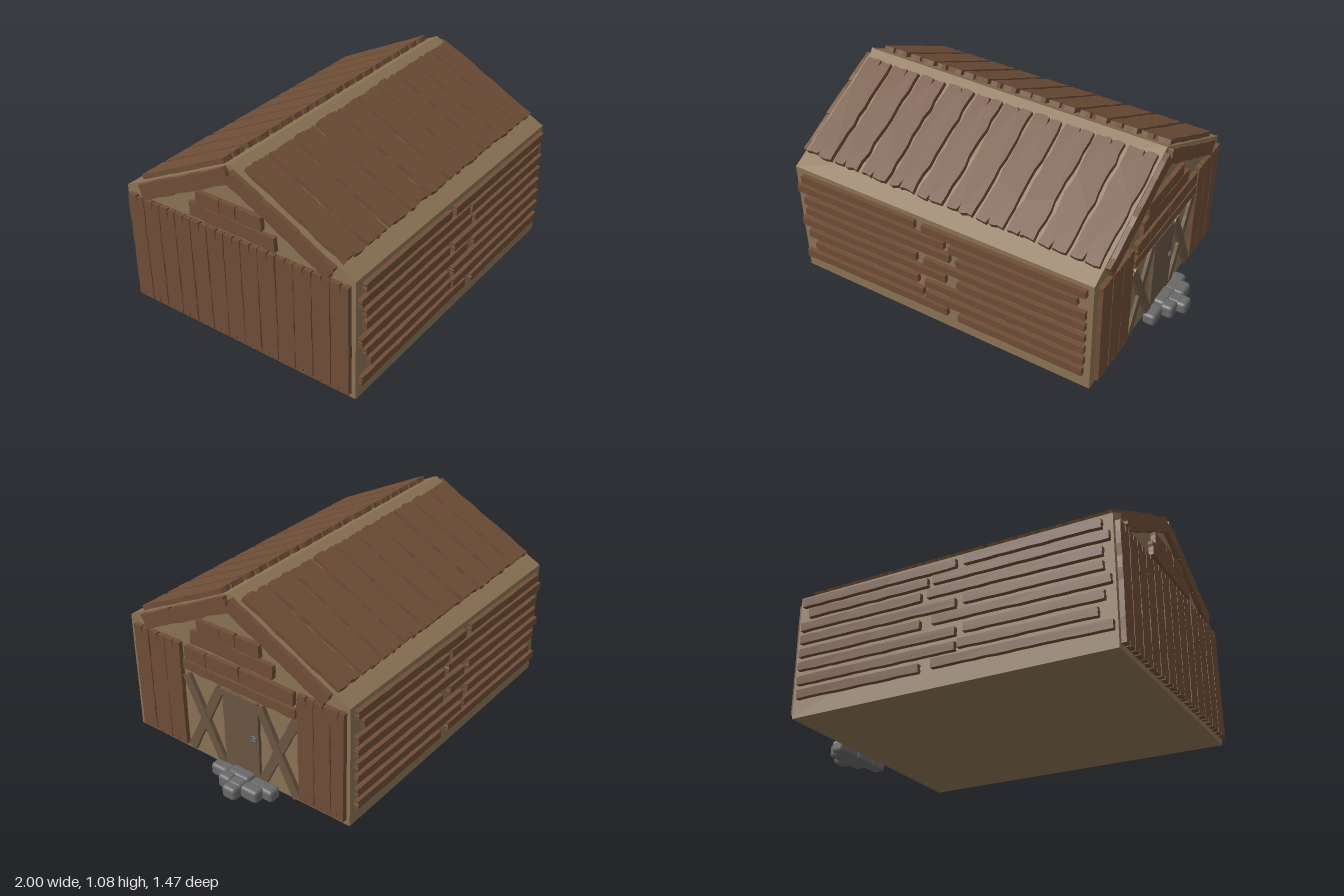
import * as THREE from 'three';
import { RoundedBoxGeometry } from 'three/addons/geometries/RoundedBoxGeometry.js';

const BASE = 0.035, EAVE = 0.72, RIDGE = 1.08, HALF = 0.71, X0 = -0.97, X1 = 0.82;
const SLOPE = Math.atan2(RIDGE - EAVE, HALF);

const mat = (color) => new THREE.MeshStandardMaterial({ color, flatShading: true });

export function createModel() {
  const barn = new THREE.Group();
  barn.name = 'barn';
  const wallMat = mat(0x8b7355), plankMat = mat(0x6f4e37), doorMat = mat(0x6a5643), stoneMat = mat(0x696969);

  let seed = 7;
  const rand = () => (seed = (seed * 16807) % 2147483647) / 2147483647;
  const jitter = (a) => (rand() * 2 - 1) * a;

  // Rough-sawn board: wavy long edges, splintered ends, optional cracks in the ends
  function boardGeometry(len, wid, depth, wave, crack) {
    const pts = [], n = Math.max(4, Math.round(len / 0.06)), L = len / 2, W = wid / 2;
    const side = (s) => {
      for (let i = 0; i <= n; i++) pts.push([s * (-L + (len * i) / n), s * -W + jitter(wave)]);
    };
    const end = (s) => {
      for (let i = 1; i < 5; i++) {
        const y = s * (-W + (wid * i) / 5);
        pts.push([s * L + jitter(wave * 1.3), y]);
        if (crack && i === 2) {
          pts.push([s * (L - crack * (0.4 + rand() * 0.6)), y + s * wid * 0.05]);
          pts.push([s * L, y + s * wid * 0.09]);
        }
      }
    };
    side(1); end(1); side(-1); end(-1);
    const shape = new THREE.Shape(pts.map((p) => new THREE.Vector2(...p)));
    return new THREE.ExtrudeGeometry(shape, { depth, bevelEnabled: false });
  }

  // Places a board on a face whose local z points outwards
  function board(face, name, u, v, len, wid, angle = 0, o = {}) {
    const { depth = 0.03, wave = 0.003, crack = 0, lift = -0.004, material = plankMat } = o;
    const mesh = new THREE.Mesh(boardGeometry(len, wid, depth, wave, crack), material);
    mesh.name = name;
    mesh.position.set(u, v, lift);
    mesh.rotation.z = angle;
    face.add(mesh);
  }

  function addFace(name, x, z, turn) {
    const g = new THREE.Group();
    g.name = name;
    g.position.set(x, 0, z);
    g.rotation.y = turn;
    barn.add(g);
    return g;
  }

  // Solid body with a pitched top
  const profile = new THREE.Shape([[-HALF, BASE], [HALF, BASE], [HALF, EAVE], [0, RIDGE], [-HALF, EAVE]]
    .map((p) => new THREE.Vector2(...p)));
  const body = new THREE.Mesh(
    new THREE.ExtrudeGeometry(profile, { depth: X1 - X0, bevelEnabled: false }), wallMat);
  body.name = 'body';
  body.rotation.y = Math.PI / 2;
  body.position.x = X0;
  barn.add(body);

  // Long walls: eight rows of two staggered boards: y, then start and end of each
  const rows = [
    [0.67, -0.92, -0.19, -0.145, 0.79], [0.603, -0.955, -0.015, 0.015, 0.745],
    [0.53, -0.92, 0.015, 0.055, 0.79], [0.455, -0.92, -0.19, -0.145, 0.79],
    [0.38, -0.955, -0.015, 0.055, 0.79], [0.303, -0.92, -0.19, -0.145, 0.79],
    [0.225, -0.885, -0.16, -0.145, 0.79], [0.15, -0.955, -0.015, 0.055, 0.785],
  ];
  for (const s of [1, -1]) {
    const wall = addFace(s > 0 ? 'frontWall' : 'backWall', 0, s * HALF, s > 0 ? 0 : Math.PI);
    for (const [y, a, b, c, d] of rows)
      for (const [from, to] of [[a, b], [c, d]])
        board(wall, 'wallBoard', (s * (from + to)) / 2, y, to - from, 0.045, s * 0.01 + jitter(0.004), { wave: 0.002 });
  }

  // Roof: ten wide boards on each slope
  for (const s of [1, -1]) {
    const side = addFace(s > 0 ? 'frontRoof' : 'backRoof', 0, s * HALF, s > 0 ? 0 : Math.PI);
    const slope = new THREE.Group();
    slope.name = 'roofBoards';
    slope.position.y = EAVE;
    slope.rotation.x = SLOPE - Math.PI / 2;
    side.add(slope);
    for (let i = 0; i < 10; i++)
      board(slope, 'roofBoard', s * (-0.865 + i * 0.177), 0.412, 0.635, 0.152, Math.PI / 2 + jitter(0.008),
        { wave: 0.006, crack: 0.05, lift: -0.003 });
  }

  // Boards shared by both gables: sloping trim and two short courses
  function gable(face) {
    for (const s of [-1, 1])
      for (const [u, v, len] of [[0.485, 0.78, 0.235], [0.28, 0.886, 0.23], [0.092, 0.983, 0.2]])
        board(face, 'gableTrim', s * u, v, len, 0.082, -s * SLOPE + jitter(0.02), { wave: 0.004 });
    board(face, 'gableBoard', 0.003, 0.755, 0.53, 0.075, -0.02, { wave: 0.004 });
    for (const [u, len] of [[-0.137, 0.147], [-0.012, 0.095], [0.117, 0.15]])
      board(face, 'gableBoard', u, 0.836, len, 0.073);
  }
  const upright = (face, u, wid) =>
    board(face, 'uprightBoard', u, 0.378, 0.625, wid, Math.PI / 2, { crack: 0.06 });

  // Door end
  const doorEnd = addFace('doorEnd', X1, 0, Math.PI / 2);
  gable(doorEnd);
  for (const [u, w] of [[-0.618, 0.1], [-0.506, 0.108], [-0.397, 0.104], [0.463, 0.095], [0.563, 0.095], [0.653, 0.076]])
    upright(doorEnd, u, w);
  for (const [u, len] of [[-0.24, 0.14], [-0.058, 0.212], [0.223, 0.335]])
    board(doorEnd, 'lintelBoard', u, 0.65, len, 0.078);
  board(doorEnd, 'lintelBoard', 0.038, 0.572, 0.725, 0.052, -0.01);
  board(doorEnd, 'door', 0.045, 0.285, 0.47, 0.23, Math.PI / 2, { depth: 0.022, wave: 0.004, material: doorMat });
  for (const u of [-0.2, 0.285])
    [1, -1].forEach((s, i) =>
      board(doorEnd, 'crossBrace', u, 0.288, 0.51, 0.05, s * 1.11,
        { depth: 0.022 + i * 0.005, wave: 0.002, material: doorMat }));

  // Ring handle with a small stud
  const handle = new THREE.Group();
  handle.name = 'doorHandle';
  handle.position.set(0.13, 0.305, 0.02);
  handle.add(new THREE.Mesh(new THREE.TorusGeometry(0.015, 0.004, 8, 20), stoneMat));
  handle.add(new THREE.Mesh(new THREE.SphereGeometry(0.008, 10, 8), stoneMat));
  doorEnd.add(handle);

  // Closed end: uprights across the whole width
  const closedEnd = addFace('closedEnd', X0, 0, -Math.PI / 2);
  gable(closedEnd);
  for (let i = 0; i < 13; i++) upright(closedEnd, -0.636 + i * 0.106, 0.1);

  // Doorstep of rounded stones: x, z, width, height, depth
  const stones = [
    [0.86, 0.07, 0.075, 0.072, 0.12], [0.86, -0.055, 0.08, 0.084, 0.14], [0.86, -0.2, 0.075, 0.07, 0.16],
    [0.915, -0.008, 0.075, 0.082, 0.08], [0.92, -0.08, 0.08, 0.078, 0.085], [0.915, -0.17, 0.07, 0.074, 0.11],
    [0.963, -0.08, 0.074, 0.074, 0.085],
  ];
  const step = new THREE.Group();
  step.name = 'doorstep';
  for (const [x, z, w, h, d] of stones) {
    const stone = new THREE.Mesh(new RoundedBoxGeometry(w, h, d, 3, 0.02), stoneMat);
    stone.name = 'stepStone';
    stone.position.set(x, h / 2, z);
    step.add(stone);
  }
  barn.add(step);
  return barn;
}
